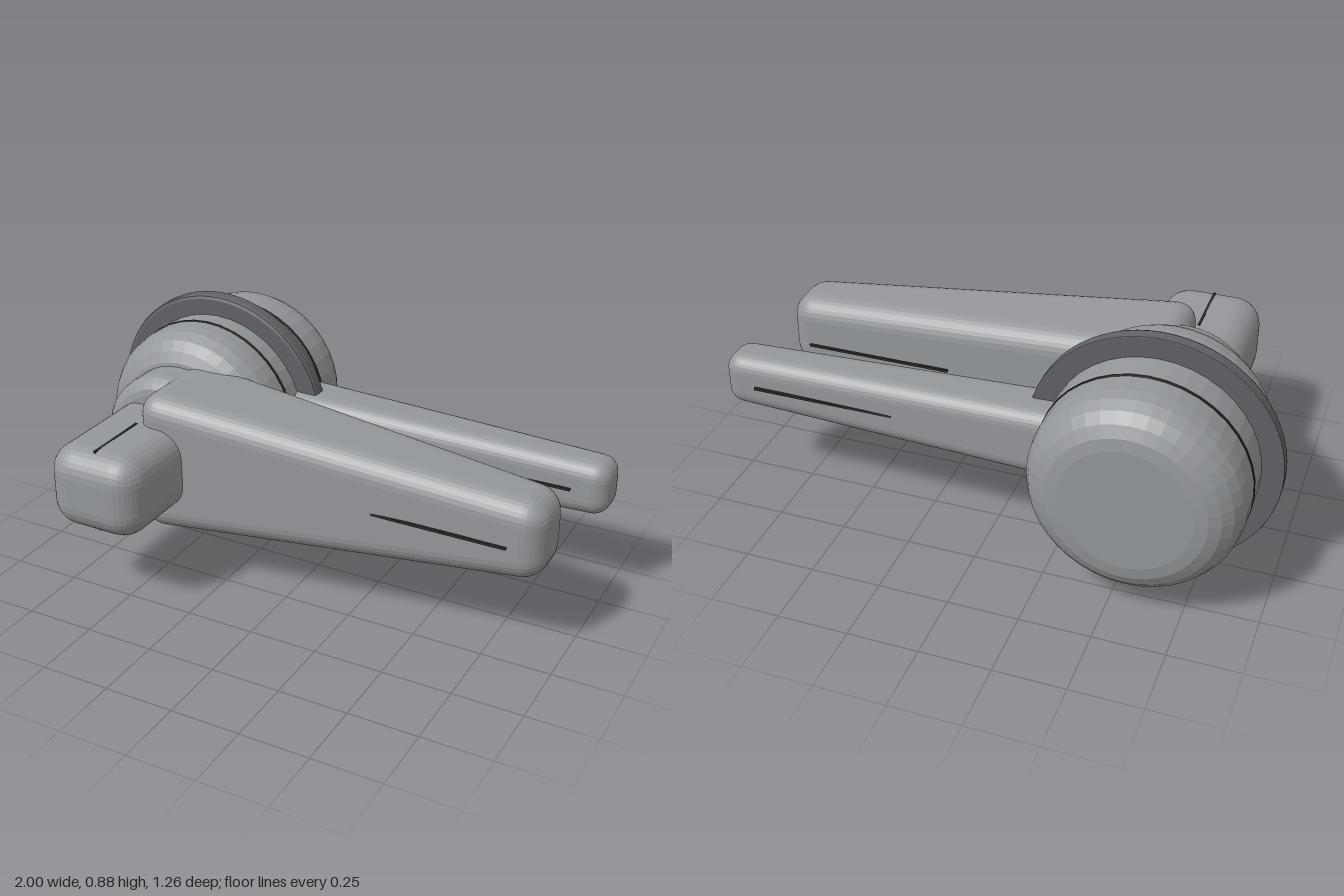
import * as THREE from 'three';
import { RoundedBoxGeometry } from 'three/addons/geometries/RoundedBoxGeometry.js';

const CX = -0.56, CY = 0.445; // axis of the round parts, running along z

export function createModel() {
  const model = new THREE.Group();
  model.name = 'doorHandle';
  const metal = new THREE.MeshStandardMaterial({ color: 0x95989b });
  metal.name = 'brushed grey';
  const darkMetal = new THREE.MeshStandardMaterial({ color: 0x626267 });
  darkMetal.name = 'dark grey';
  const seam = new THREE.MeshStandardMaterial({ color: 0x2c2c2e });
  seam.name = 'seam black';

  function add(name, geometry, material, x, y, z) {
    const mesh = new THREE.Mesh(geometry, material);
    mesh.name = name;
    mesh.position.set(x, y, z);
    model.add(mesh);
    return mesh;
  }

  // faceted normals
  function flat(geometry) {
    const g = geometry.index ? geometry.toNonIndexed() : geometry;
    g.computeVertexNormals();
    return g;
  }

  // round body along z from z0 to z1, with rounded back and front rims
  function drum(radius, z0, z1, backRound, frontRound, steps, sides = 40) {
    const points = [new THREE.Vector2(0, z0)];
    for (let i = 0; i <= steps; i++) {
      const a = (i / steps) * Math.PI / 2;
      points.push(new THREE.Vector2(radius - backRound * (1 - Math.sin(a)), z0 + backRound * (1 - Math.cos(a))));
    }
    for (let i = 0; i <= steps; i++) {
      const a = (i / steps) * Math.PI / 2;
      points.push(new THREE.Vector2(radius - frontRound * (1 - Math.cos(a)), z1 - frontRound * (1 - Math.sin(a))));
    }
    points.push(new THREE.Vector2(0, z1));
    return flat(new THREE.LatheGeometry(points, sides).rotateX(Math.PI / 2));
  }

  // rounded bar along x, widening towards its -x end with constant edge radius
  function taperedBar(length, endY, endZ, extraY, extraZ, radius) {
    const g = new RoundedBoxGeometry(length, endY * 2, endZ * 2, 4, radius);
    const p = g.attributes.position;
    for (let i = 0; i < p.count; i++) {
      const t = 0.5 - p.getX(i) / length;
      p.setY(i, p.getY(i) + Math.sign(p.getY(i)) * extraY * t);
      p.setZ(i, p.getZ(i) + Math.sign(p.getZ(i)) * extraZ * t);
    }
    return flat(g);
  }

  // round knob, its mounting flange and the collar in front
  add('knob', drum(0.365, -0.635, 0.03, 0.14, 0.14, 5), metal, CX, CY, 0);
  add('flange', drum(0.44, -0.295, -0.24, 0.003, 0.015, 2, 64), darkMetal, CX, CY, 0);
  add('collar', drum(0.255, -0.05, 0.168, 0.01, 0.06, 4), metal, CX, CY, 0);
  for (const z of [-0.165, -0.41]) {
    add('knobSeam', drum(0.3675, z - 0.006, z + 0.006, 0.001, 0.001, 1), seam, CX, CY, 0);
  }

  // square stub pointing forward, with a short seam above and below
  const stub = taperedBar(0.58, 0.155, 0.182, -0.006, 0.005, 0.1);
  stub.rotateY(-Math.PI / 2);
  add('stub', stub, metal, CX, CY, 0.34);
  for (const side of [-1, 1]) {
    add('stubSeam', new THREE.BoxGeometry(0.009, 0.009, 0.25), seam, CX, CY + side * 0.15, 0.44);
  }

  // front and back levers
  add('frontLever', taperedBar(1.49, 0.138, 0.115, 0.13, 0.097, 0.08), metal, 0.185, CY, 0.118);
  add('backLever', taperedBar(1.5, 0.098, 0.082, 0.035, 0.033, 0.06), metal, 0.25, CY, -0.297);

  // thin seam lines on the lever sides
  const seams = [
    [0.27, 0.82, 0.267], [0.27, 0.82, -0.053],
    [0.32, 0.87, -0.207], [0.32, 0.87, -0.389],
  ];
  for (const [x0, x1, z] of seams) {
    add('leverSeam', new THREE.BoxGeometry(x1 - x0, 0.009, 0.009), seam, (x0 + x1) / 2, CY, z);
  }

  // small latch wheel between the levers
  add('latchWheel', flat(new THREE.CylinderGeometry(0.12, 0.12, 0.062, 24)), darkMetal, -0.25, 0.464, -0.055);
  add('latchHub', flat(new THREE.CylinderGeometry(0.095, 0.095, 0.036, 24)), darkMetal, -0.25, 0.417, -0.055);

  return model;
}
